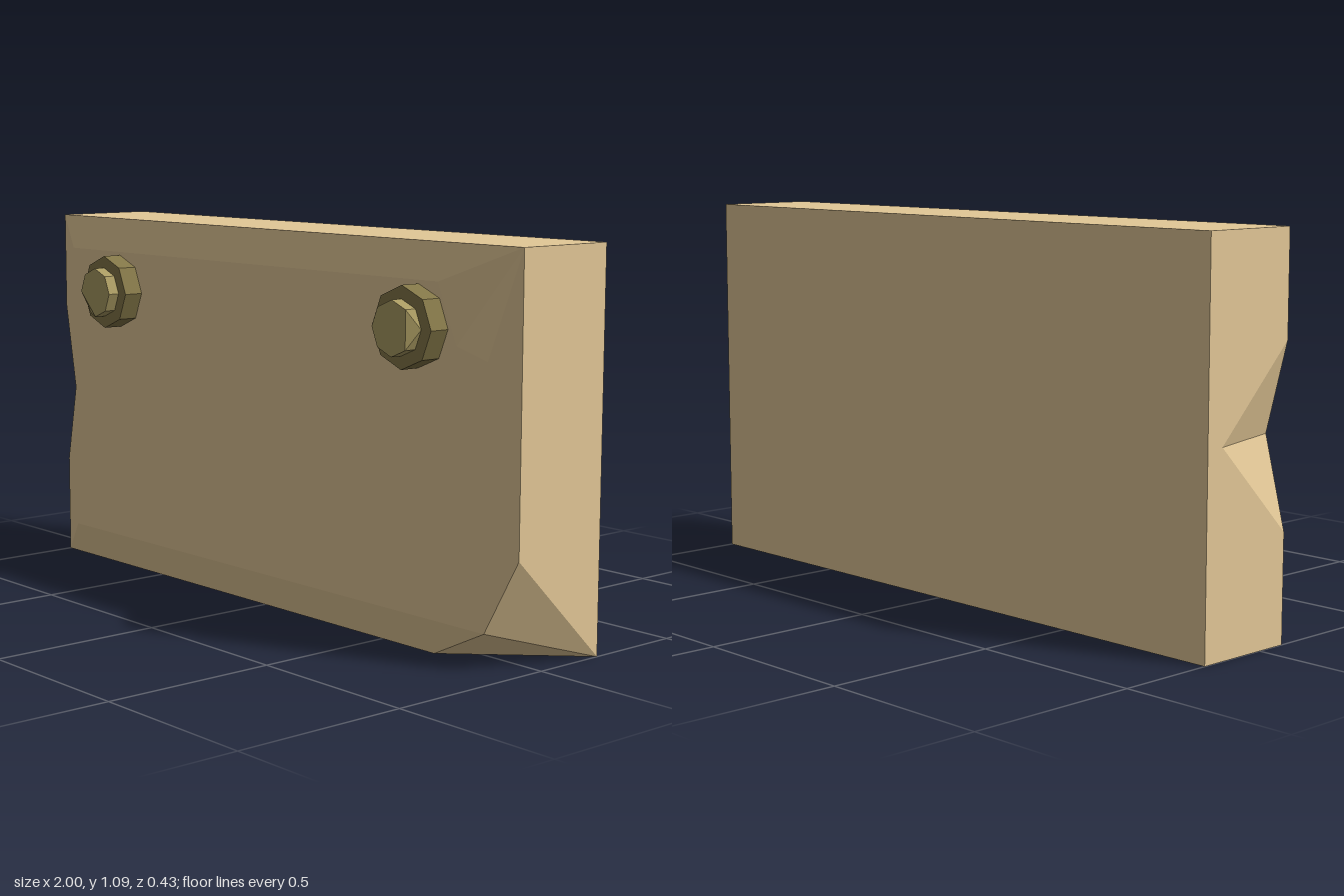
import * as THREE from 'three';

const wood = new THREE.MeshStandardMaterial({ name: 'tan block', color: 0xe3c897, flatShading: true });
const nutMat = new THREE.MeshStandardMaterial({ name: 'dark brass', color: 0x847748, flatShading: true });
const headMat = new THREE.MeshStandardMaterial({ name: 'light brass', color: 0xab9c63, flatShading: true });

const BACK = -0.215, EDGE = 0.09, FRONT = 0.12, TOP = 1.09;

// Triangulates a polygon given counter-clockwise as seen from outside, projected along one axis
function addFace(out, pts, axis) {
  const [u, v] = [[1, 2], [2, 0], [0, 1]][axis];
  const flat = pts.map(p => new THREE.Vector2(p[u], p[v]));
  const flip = THREE.ShapeUtils.isClockWise(flat);
  for (const [i, j, k] of THREE.ShapeUtils.triangulateShape(flat, [])) {
    out.push(...pts[i], ...(flip ? pts[k] : pts[j]), ...(flip ? pts[j] : pts[k]));
  }
}

function toGeometry(positions) {
  const geo = new THREE.BufferGeometry();
  geo.setAttribute('position', new THREE.Float32BufferAttribute(positions, 3));
  geo.computeVertexNormals();
  return geo;
}

function createBlock() {
  // Corners of the back, the outer front rim and the raised front panel
  const b = [[-1, 0, BACK], [1, 0, BACK], [1, TOP, BACK], [-1, TOP, BACK]];
  const rimBL = [-1, 0, EDGE], rimTL = [-1, TOP, EDGE], rimTR = [1, TOP, EDGE];
  const panelBL = [-0.91, 0.1, FRONT], panelBR = [0.91, 0.1, FRONT], panelTL = [-0.91, 0.99, FRONT];
  // Chipped bottom corner, dented top corner and side notch
  const chipA = [0.7, 0, EDGE], chipB = [1, 0.3, EDGE];
  const dentA = [0.73, 0.99, FRONT], dentB = [0.8, 0.83, FRONT], dentC = [0.91, 0.8, FRONT];
  const notchLow = [-1, 0.3, EDGE], notchHigh = [-1, 0.8, EDGE];
  const notchIn = [-0.91, 0.545, FRONT], notchBack = [-1, 0.55, -0.16];

  const out = [];
  const faces = [
    // Back, top, bottom and the two sides
    [[b[1], b[0], b[3], b[2]], 2],
    [[rimTL, rimTR, b[2], b[3]], 1],
    [[b[0], b[1], chipA, rimBL], 1],
    [[chipB, b[1], b[2], rimTR], 0],
    [[b[0], rimBL, notchLow, notchBack, notchHigh, rimTL, b[3]], 0],
    // Front panel and its bevels
    [[panelBL, panelBR, dentC, dentB, dentA, panelTL, notchIn], 2],
    [[rimBL, chipA, panelBR, panelBL], 2],
    [[panelTL, dentA, rimTR, rimTL], 2],
    [[panelBR, chipB, rimTR, dentC], 2],
    [[rimBL, panelBL, notchIn, notchLow], 2],
    [[notchHigh, notchIn, panelTL, rimTL], 2],
  ];
  for (const [pts, axis] of faces) addFace(out, pts, axis);
  // Damage facets
  const facets = [
    [chipA, b[1], panelBR], [b[1], chipB, panelBR],
    [rimTR, dentA, dentB], [rimTR, dentB, dentC],
    [notchLow, notchIn, notchBack], [notchBack, notchIn, notchHigh],
  ];
  for (const tri of facets) for (const p of tri) out.push(...p);

  const mesh = new THREE.Mesh(toGeometry(out), wood);
  mesh.name = 'block';
  return mesh;
}

// Octagonal bolt head with one front corner worn away at the given eighth
function headGeometry(chip, baseReach) {
  const r = 0.074, z0 = 0.18, z1 = 0.215, out = [];
  const corner = (i, z) => {
    const k = i % 8, a = k * Math.PI / 4;
    const rad = k !== chip ? r : z === z1 ? 0.0523 : baseReach;
    return [rad * Math.cos(a), rad * Math.sin(a), z];
  };
  for (let i = 0; i < 8; i++) {
    const a = corner(i, z0), c = corner(i + 1, z0), d = corner(i + 1, z1), e = corner(i, z1);
    const tris = i === chip ? [a, c, d, a, d, e] : [a, c, e, c, d, e];
    for (const p of [...tris, e, d, [0, 0, z1]]) out.push(...p);
  }
  return toGeometry(out);
}

function createBolt(name, x, chip, baseReach) {
  const bolt = new THREE.Group();
  bolt.name = name;
  bolt.position.set(x, 0.87, 0);
  const nut = new THREE.Mesh(new THREE.CylinderGeometry(0.11, 0.11, 0.07, 8), nutMat);
  nut.name = 'nut';
  nut.rotation.x = Math.PI / 2;
  nut.position.z = 0.145;
  const head = new THREE.Mesh(headGeometry(chip, baseReach), headMat);
  head.name = 'boltHead';
  bolt.add(nut, head);
  return bolt;
}

export function createModel() {
  const model = new THREE.Group();
  model.name = 'boltedBlock';
  model.add(createBlock());
  model.add(createBolt('leftBolt', 0.658, 0, 0.074));
  model.add(createBolt('rightBolt', -0.66, 5, 0.1));
  return model;
}
